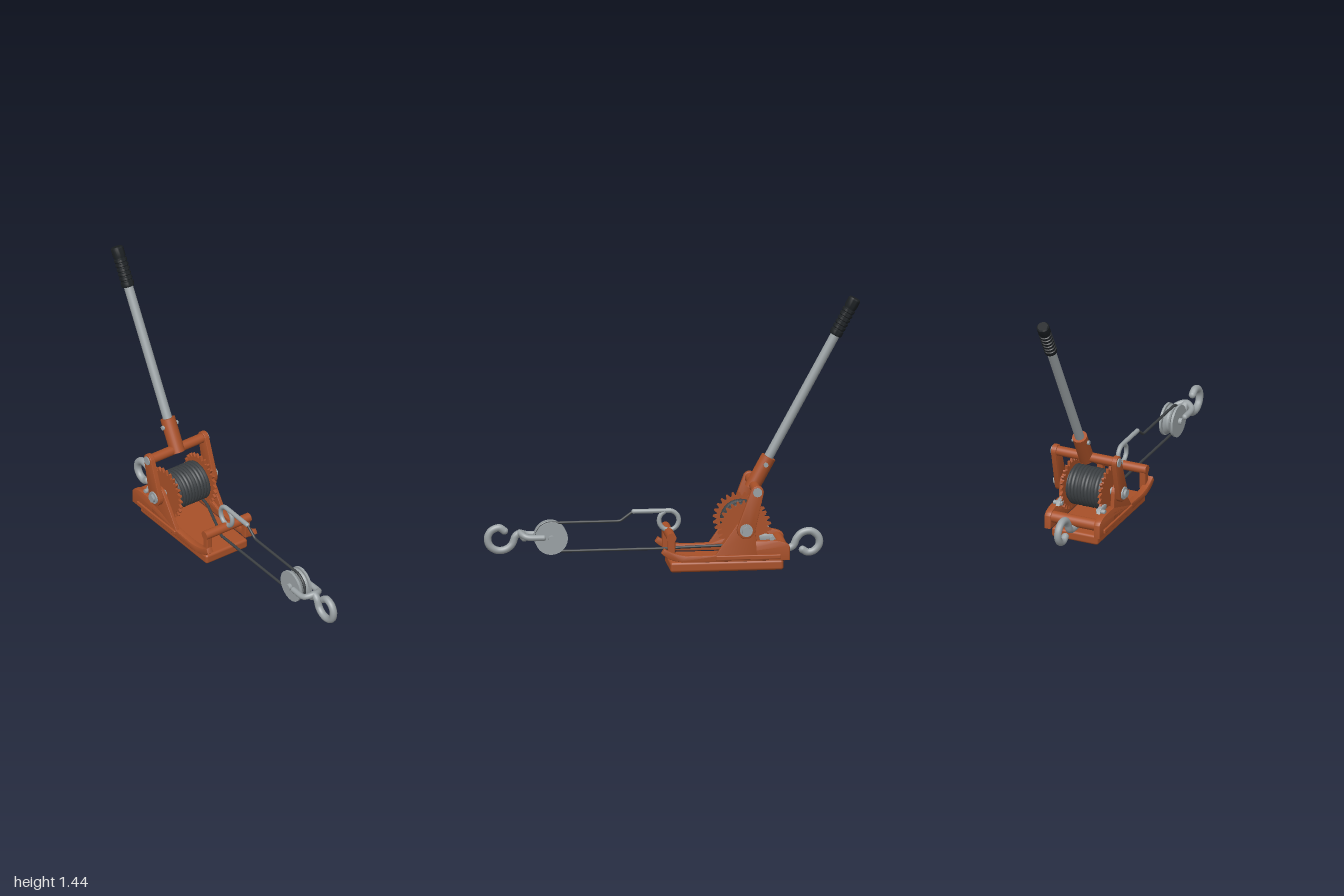
import * as THREE from 'three';
import { RoundedBoxGeometry } from 'three/addons/geometries/RoundedBoxGeometry.js';
import { toCreasedNormals } from 'three/addons/utils/BufferGeometryUtils.js';

const mat = (color) => new THREE.MeshStandardMaterial({ color });
const V = (x, y, z = 0) => new THREE.Vector3(x, y, z);

export function createModel() {
  const root = new THREE.Group();
  const paint = mat(0xa85028), steel = mat(0x9aa1a4), cable = mat(0x3b3f42), rubber = mat(0x1c2023);

  const add = (name, geometry, material, x = 0, y = 0, z = 0, parent = root) => {
    const mesh = new THREE.Mesh(geometry, material);
    mesh.name = name;
    mesh.position.set(x, y, z);
    parent.add(mesh);
    return mesh;
  };
  // Cylinder lying along z
  const pin = (name, r, length, material, x, y, z = 0, sides = 28) =>
    add(name, new THREE.CylinderGeometry(r, r, length, sides).rotateX(Math.PI / 2), material, x, y, z);
  // Flat outline in the xy plane, extruded and centred on z
  const plate = (name, shape, depth, material, z, bevel = 0.004) => {
    const g = new THREE.ExtrudeGeometry(shape, {
      depth: depth - 2 * bevel, bevelEnabled: bevel > 0, bevelSize: bevel, bevelThickness: bevel,
      bevelOffset: -bevel, bevelSegments: 2, curveSegments: 12,
    });
    g.translate(0, 0, bevel - depth / 2);
    return add(name, toCreasedNormals(g, 0.6), material, 0, 0, z);
  };
  // Round bar along a smooth path, with rounded ends
  const bar = (name, points, r, material, segments = 64, tension = 0.5) => {
    const curve = new THREE.CatmullRomCurve3(points, false, 'catmullrom', tension);
    const mesh = add(name, new THREE.TubeGeometry(curve, segments, r, 12), material);
    for (const p of [points[0], points[points.length - 1]])
      add(name + 'End', new THREE.SphereGeometry(r, 12, 8), material, p.x, p.y, p.z);
    return mesh;
  };
  const outline = (pts) => new THREE.Shape(pts.map(([x, y]) => new THREE.Vector2(x, y)));

  const PX = -0.37, PY = 0.232; // drum axis

  // Base
  add('basePlate', new RoundedBoxGeometry(0.6, 0.055, 0.27, 3, 0.014), paint, -0.275, 0.0275, 0);

  // Side rail, upturned at the front end
  const rail = new THREE.Shape();
  rail.moveTo(-0.605, 0.058);
  rail.lineTo(-0.08, 0.058);
  rail.quadraticCurveTo(0.03, 0.06, 0.075, 0.11);
  rail.lineTo(0.06, 0.135);
  rail.quadraticCurveTo(0, 0.095, -0.09, 0.092);
  rail.lineTo(-0.22, 0.095);
  rail.lineTo(-0.42, 0.165);
  rail.lineTo(-0.53, 0.165);
  rail.quadraticCurveTo(-0.6, 0.155, -0.605, 0.13);

  // Bracket carrying the drum axle
  const bracket = new THREE.Shape();
  bracket.moveTo(-0.435, 0.075);
  bracket.lineTo(-0.205, 0.075);
  bracket.lineTo(-0.215, 0.1);
  bracket.lineTo(PX + 0.045, PY + 0.025);
  bracket.absarc(PX, PY, 0.05, 0.5, Math.PI - 0.1);
  bracket.lineTo(-0.435, 0.1);

  // Lever arm from the drum axle to the yoke bar
  const TX = -0.43, TY = 0.435;
  const tilt = Math.atan2(TY - PY, TX - PX);
  const arm = new THREE.Shape();
  arm.absarc(TX, TY, 0.034, tilt - Math.PI / 2, tilt + Math.PI / 2);
  arm.absarc(PX, PY, 0.048, tilt + Math.PI / 2, tilt + Math.PI * 1.5);

  // Ratchet wheel outline with slanted teeth
  const teeth = 26, gearPts = [];
  for (let i = 0; i < teeth; i++) {
    for (const [f, r] of [[0, 0.122], [0.3, 0.142], [0.55, 0.142], [0.8, 0.122]]) {
      const a = ((i + f) / teeth) * Math.PI * 2;
      gearPts.push([PX + r * Math.cos(a), PY + r * Math.sin(a)]);
    }
  }
  const gear = outline(gearPts);
  const pawl = outline([[-0.535, 0.165], [-0.52, 0.19], [-0.475, 0.197], [-0.445, 0.185], [-0.45, 0.165], [-0.5, 0.155]]);

  for (const s of [1, -1]) {
    plate('sideRail', rail, 0.036, paint, s * 0.143);
    add('railRidge', new RoundedBoxGeometry(0.345, 0.025, 0.02, 2, 0.005), paint, -0.385, 0.08, s * 0.16);
    plate('axleBracket', bracket, 0.022, paint, s * 0.15);
    plate('leverArm', arm, 0.028, paint, s * 0.176);
    plate('ratchetWheel', gear, 0.014, paint, s * 0.112, 0);
    plate('pawl', pawl, 0.022, steel, s * 0.118, 0.003);
    pin('pawlPin', 0.012, 0.05, steel, -0.51, 0.172, s * 0.125, 16);
    pin('axleWasher', 0.034, 0.01, steel, PX, PY, s * 0.193);
    pin('axleNut', 0.024, 0.022, steel, PX, PY, s * 0.2, 6);
    pin('yokeBolt', 0.024, 0.008, steel, TX, TY, s * 0.192);
    // Posts of the front anchor
    add('anchorPost', new RoundedBoxGeometry(0.04, 0.125, 0.036, 2, 0.008), paint, 0.02, 0.14, s * 0.124);
  }

  // Cross members
  pin('rearCrossbar', 0.031, 0.29, paint, -0.57, 0.118);
  pin('frontAnchorBar', 0.025, 0.29, paint, 0.02, 0.19);
  pin('yokeBar', 0.026, 0.36, paint, TX, TY);
  pin('axle', 0.02, 0.38, steel, PX, PY);

  // Handle, built upright and then tilted back
  const handle = new THREE.Group();
  handle.name = 'handle';
  handle.position.set(TX, TY, 0);
  handle.rotation.z = Math.atan2(0.54, 0.993);
  root.add(handle);
  add('handleSocket', new THREE.CylinderGeometry(0.04, 0.04, 0.19, 28), paint, 0, 0.075, 0, handle);
  add('socketPin', new THREE.CylinderGeometry(0.012, 0.012, 0.1, 14).rotateX(Math.PI / 2), steel, 0, 0.13, 0, handle);
  add('handleTube', new THREE.CylinderGeometry(0.025, 0.025, 0.9, 24), steel, 0, 0.56, 0, handle);
  const grip = [[0, 0.908], [0.03, 0.908], [0.034, 0.913]];
  for (let i = 0; i < 6; i++) {
    const y = 0.925 + i * 0.025;
    grip.push([0.035, y], [0.035, y + 0.012], [0.03, y + 0.015], [0.03, y + 0.021]);
  }
  grip.push([0.034, 1.08], [0.034, 1.123], [0.028, 1.13], [0, 1.13]);
  const gripGeometry = new THREE.LatheGeometry(grip.map(([r, y]) => new THREE.Vector2(r, y)), 24);
  add('handleGrip', toCreasedNormals(gripGeometry, 0.6), rubber, 0, 0, 0, handle);

  // Drum and the cable wound on it
  pin('drum', 0.09, 0.21, cable, PX, PY);
  const turns = 10, coil = [];
  for (let i = 0; i <= turns * 16; i++) {
    const a = (i / 16) * Math.PI * 2 - Math.PI / 2;
    coil.push(V(PX + 0.097 * Math.cos(a), PY + 0.097 * Math.sin(a), -0.097 + 0.194 * i / (turns * 16)));
  }
  add('cableCoil', new THREE.TubeGeometry(new THREE.CatmullRomCurve3(coil), 400, 0.0115, 8), cable);

  // Running cable: drum, round the pulley and back to the sleeve
  const BX = 0.645, BY = 0.18, R = 0.077;
  const run = [V(PX + 0.03, 0.137, -0.09), V(-0.26, 0.13, -0.08), V(-0.03, 0.106), V(0.02, BY - R), V(0.3, BY - R)];
  for (let i = 0; i <= 10; i++) {
    const a = -Math.PI / 2 + (i / 10) * Math.PI;
    run.push(V(BX + R * Math.cos(a), BY + R * Math.sin(a)));
  }
  run.push(V(0.4, BY + R), V(0.29, BY + R), V(0.27, 0.262), V(0.215, 0.302), V(0.18, 0.308));
  bar('cable', run, 0.0075, cable, 240, 0.15);

  // Sleeve and eye hooked over the front anchor bar
  const eye = [V(0.205, 0.307), V(0.12, 0.307)];
  for (let i = 0; i <= 16; i++) {
    const a = Math.PI / 2 + (i / 16) * Math.PI * 1.85;
    eye.push(V(0.018 + 0.052 * Math.cos(a), 0.255 + 0.052 * Math.sin(a)));
  }
  bar('cableEye', eye, 0.0125, steel, 100);

  // Pulley block
  const sheave = [[0, -0.02], [0.082, -0.02], [0.07, -0.006], [0.07, 0.006], [0.082, 0.02], [0, 0.02]];
  add('sheave', toCreasedNormals(new THREE.LatheGeometry(
    sheave.map(([r, y]) => new THREE.Vector2(r, y)), 36).rotateX(Math.PI / 2), 0.6), steel, BX, BY, 0);
  for (const s of [1, -1]) pin('pulleyCheek', 0.087, 0.012, steel, BX, BY, s * 0.033, 40);
  pin('pulleyAxle', 0.018, 0.115, steel, BX, BY, 0, 20);
  bar('pulleyYoke', [V(0.69, 0.188, 0.05), V(0.765, 0.19, 0.05), V(0.795, 0.2, 0.036), V(0.81, 0.21, 0),
    V(0.795, 0.2, -0.036), V(0.765, 0.19, -0.05), V(0.69, 0.188, -0.05)], 0.016, steel);

  // Hooks
  bar('pulleyHook', [V(0.785, 0.18), V(0.805, 0.205), V(0.832, 0.19), V(0.85, 0.147), V(0.885, 0.12), V(0.93, 0.117),
    V(0.968, 0.142), V(0.979, 0.185), V(0.96, 0.223), V(0.92, 0.238), V(0.89, 0.22)], 0.02, steel);
  bar('rearHook', [V(-0.53, 0.085), V(-0.6, 0.085), V(-0.64, 0.1), V(-0.66, 0.14), V(-0.69, 0.17), V(-0.735, 0.177),
    V(-0.772, 0.15), V(-0.78, 0.11), V(-0.757, 0.075), V(-0.72, 0.063), V(-0.69, 0.078)], 0.02, steel);

  return root;
}
